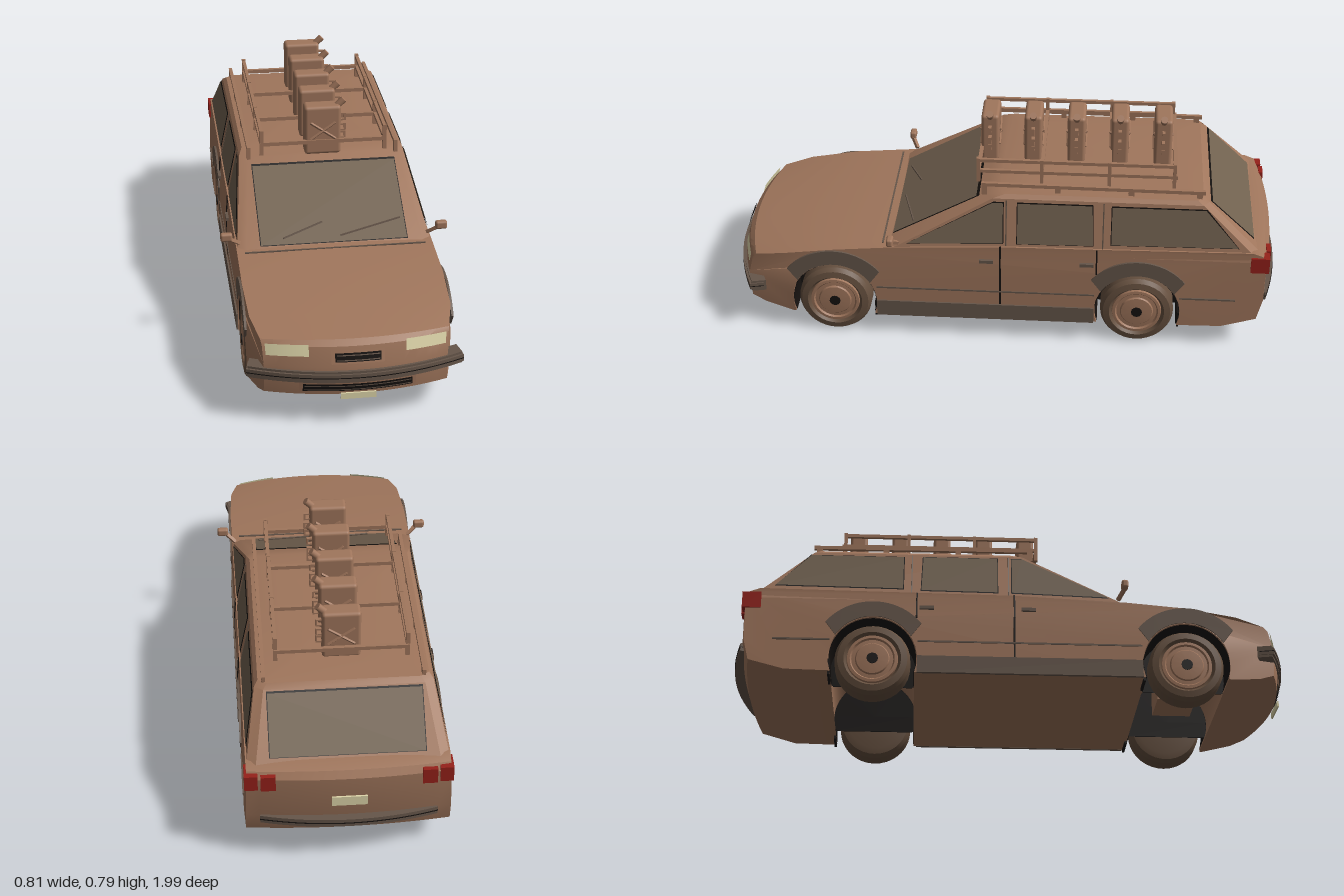
import * as THREE from 'three';
import { toCreasedNormals } from 'three/addons/utils/BufferGeometryUtils.js';
import { RoundedBoxGeometry } from 'three/addons/geometries/RoundedBoxGeometry.js';

const mat = (name, color, side = THREE.FrontSide) => {
  const m = new THREE.MeshStandardMaterial({ color, side });
  m.name = name;
  return m;
};
const paint = mat('tan paint', 0xa0765c);
const trim = mat('grey brown trim', 0x66564a, THREE.DoubleSide);
const glass = mat('smoked glass', 0x71614f, THREE.DoubleSide);
const rubber = mat('tyre rubber', 0x66503f);
const black = mat('black', 0x15110f, THREE.DoubleSide);
const cream = mat('cream lamp', 0xdfd6aa, THREE.DoubleSide);
const red = mat('red lamp', 0x96211a);

const clamp = THREE.MathUtils.clamp;
const WHEELS = [0.605, -0.495], WHEEL_Y = 0.132, ARCH = 0.155;
const FORWARD = new THREE.Vector3(0, 0, 1);

export function createModel() {
  const car = new THREE.Group();
  car.name = 'estateCar';

  const add = (name, geo, m, x = 0, y = 0, z = 0, parent = car) => {
    const mesh = new THREE.Mesh(geo, m);
    mesh.name = name;
    mesh.position.set(x, y, z);
    parent.add(mesh);
    return mesh;
  };
  const box = (name, w, h, d, m, x, y, z, parent) => add(name, new THREE.BoxGeometry(w, h, d), m, x, y, z, parent);
  const rod = (name, a, b, t, m, parent) => {
    const p = new THREE.Vector3(...a), q = new THREE.Vector3(...b);
    const mesh = box(name, t, t, p.distanceTo(q), m, 0, 0, 0, parent);
    mesh.quaternion.setFromUnitVectors(FORWARD, q.clone().sub(p).normalize());
    mesh.position.copy(p).add(q).multiplyScalar(0.5);
  };
  const warp = (geo, fn) => {
    const p = geo.attributes.position, v = new THREE.Vector3();
    for (let i = 0; i < p.count; i++) {
      fn(v.fromBufferAttribute(p, i));
      p.setXYZ(i, v.x, v.y, v.z);
    }
    geo.computeVertexNormals();
    return geo;
  };
  // Rounds the nose and tail in plan and leans the upper flanks inwards
  const bend = (v) => {
    const tf = clamp((v.z - 0.75) / 0.23, 0, 1), tr = clamp((-v.z - 0.85) / 0.12, 0, 1);
    const q = (v.x / 0.352) ** 2;
    v.z += (0.025 * tr - 0.055 * tf) * q;
    v.x *= 1 - 0.13 * tf - 0.015 * tr - Math.max(0, v.y - 0.3) * 0.2;
    if (v.y > 0.25) v.y += 0.004 * (1 - q);
  };

  // Lower body: side profile with wheel arches, extruded across
  const profile = [[0.4, 0.37], [0.605, 0.352], [0.8, 0.324], [0.935, 0.3], [0.955, 0.283], [0.975, 0.22],
    [0.978, 0.17], [0.97, 0.115], [0.9, 0.095], [0.76, 0.079]];
  for (const wz of WHEELS) {
    for (let i = 0; i <= 18; i++) {
      const a = -0.35 + (i / 18) * (Math.PI + 0.7);
      profile.push([wz + ARCH * Math.cos(a), 0.135 + ARCH * Math.sin(a)]);
    }
  }
  profile.push([-0.8, 0.085], [-0.945, 0.12], [-0.97, 0.2], [-0.972, 0.36], [-0.955, 0.385], [-0.91, 0.398], [0, 0.388]);
  const shape = new THREE.Shape(profile.map((p) => new THREE.Vector2(...p)));
  const hull = new THREE.ExtrudeGeometry(shape, { depth: 0.704, steps: 16, bevelEnabled: false });
  hull.translate(0, 0, -0.352).rotateY(-Math.PI / 2);
  add('lowerBody', toCreasedNormals(warp(hull, bend), 0.5), paint);

  // Cabin: stacked rings with chamfered corners
  const ring = ([y, w, f, b]) => [[w, f - 0.02], [w, b + 0.02], [w - 0.03, b], [0.03 - w, b],
    [-w, b + 0.02], [-w, f - 0.02], [0.03 - w, f], [w - 0.03, f]].map(([x, z]) => [x, y, z]);
  const rings = [[0.36, 0.345, 0.42, -0.95], [0.565, 0.302, 0.05, -0.735], [0.578, 0.289, 0.005, -0.715],
    [0.586, 0.2, -0.1, -0.63]].map(ring);
  const tris = [];
  rings.forEach((r, k) => r.forEach((a, i) => {
    const b = r[(i + 1) % 8], up = rings[k + 1];
    if (up) tris.push(a, b, up[(i + 1) % 8], a, up[(i + 1) % 8], up[i]);
    else tris.push([0, 0.589, -0.36], a, b);
  }));
  const cabin = new THREE.BufferGeometry();
  cabin.setAttribute('position', new THREE.Float32BufferAttribute(tris.flat(), 3));
  cabin.computeVertexNormals();
  add('cabin', toCreasedNormals(cabin, 0.4), paint);

  // Windows: flat outlines laid on the cabin planes, each over a thin dark seal
  const sideX = (y) => 0.345 - (y - 0.36) * 0.2098;
  const frontZ = (y) => 0.42 - (y - 0.36) * 1.805;
  const rearZ = (y) => -0.95 + (y - 0.36) * 1.049;
  const pane = (name, pts, place) => {
    const cx = pts.reduce((s, p) => s + p[0], 0) / pts.length, cy = pts.reduce((s, p) => s + p[1], 0) / pts.length;
    const layer = (grow, lift) => warp(new THREE.ShapeGeometry(new THREE.Shape(pts.map(([u, v]) =>
      new THREE.Vector2(u + Math.sign(u - cx) * grow, v + Math.sign(v - cy) * grow)))), (p) => place(p, lift));
    add(name + 'Seal', layer(0.003, 0.003), black);
    add(name, layer(0, 0.006), glass);
  };
  const screen = (y0, y1) => [[-0.26, y0], [0.26, y0], [0.26, y1], [-0.26, y1]];
  pane('windscreen', screen(0.38, 0.548), (p, l) => { p.z = frontZ(p.y) + l * 1.6; });
  pane('rearWindow', screen(0.412, 0.56), (p, l) => { p.z = rearZ(p.y) - l * 1.3; });
  const sidePanes = {
    frontDoorWindow: [[0.335, 0.39], [-0.008, 0.402], [-0.008, 0.552], [0.03, 0.552]],
    rearDoorWindow: [[-0.06, 0.402], [-0.33, 0.405], [-0.325, 0.552], [-0.06, 0.552]],
    quarterWindow: [[-0.395, 0.41], [-0.845, 0.415], [-0.725, 0.55], [-0.395, 0.55]],
  };
  for (const s of [1, -1]) {
    for (const [name, pts] of Object.entries(sidePanes)) {
      pane(name, pts, (p, l) => p.set(s * (sideX(p.y) + l), p.y, p.x));
    }
    // Sills, mouldings, seams and handles
    box('sill', 0.012, 0.063, 0.79, trim, s * 0.352, 0.112, 0.055);
    for (const [z, d] of [[0.055, 0.79], [-0.745, 0.2]]) box('sideMoulding', 0.006, 0.006, d, trim, s * 0.352, 0.2, z);
    for (const z of [0, -0.345]) {
      const low = z ? 0.29 : 0.145;
      box('doorSeam', 0.003, 0.3 - low, 0.006, black, s * 0.352, (0.3 + low) / 2, z);
      rod('doorSeam', [s * 0.352, 0.3, z], [s * 0.346, 0.39, z], 0.005, black);
      rod('pillarSeam', [s * sideX(0.39), 0.39, z - 0.02], [s * sideX(0.56), 0.56, z - 0.02], 0.004, trim);
    }
    for (const z of [0.05, -0.31]) box('doorHandle', 0.014, 0.012, 0.05, trim, s * 0.352, 0.33, z);
    // Mirrors
    rod('mirrorArm', [s * 0.335, 0.385, 0.37], [s * 0.37, 0.412, 0.39], 0.012, paint);
    add('mirror', new RoundedBoxGeometry(0.042, 0.03, 0.024, 2, 0.008), paint, s * 0.382, 0.421, 0.39);
    // Tail lamps: one on the tailgate, one wrapping the corner
    box('tailLampInner', 0.05, 0.06, 0.016, red, s * 0.27, 0.35, -0.956);
    box('tailLampCorner', 0.045, 0.06, 0.066, red, s * 0.327, 0.35, -0.925);

    for (const z of WHEELS) {
      // Arch flare
      const flare = new THREE.Shape();
      flare.absarc(0, 0, 0.212, 0.66, Math.PI - 0.66, false);
      flare.absarc(0, 0, ARCH, Math.PI - 0.55, 0.55, true);
      const fg = new THREE.ExtrudeGeometry(flare, { depth: 0.008, bevelEnabled: false, curveSegments: 20 });
      fg.rotateY(-Math.PI / 2).translate(0.004, 0, 0);
      add('archFlare', fg, trim, s * 0.352, 0.137, z);
      // Black wheel well: half tunnel closed by an inner wall
      const liner = new THREE.CylinderGeometry(ARCH - 0.003, ARCH - 0.003, 0.14, 28, 1, true, -0.35, Math.PI + 0.7);
      add('wellLiner', liner.rotateZ(Math.PI / 2), black, s * 0.278, 0.135, z);
      const wall = new THREE.CircleGeometry(ARCH - 0.002, 28, -0.35, Math.PI + 0.7);
      add('wellWall', wall.rotateY(Math.PI / 2), black, s * 0.21, 0.135, z);
      box('wellWallBase', 0.004, 0.06, 0.28, black, s * 0.21, 0.112, z);
      box('mudFlap', 0.09, 0.06, 0.008, black, s * 0.3, 0.1, z - 0.15);
      // Wheel
      const wheel = new THREE.Group();
      wheel.name = 'wheel';
      wheel.position.set(s * 0.301, WHEEL_Y, z);
      wheel.rotation.z = -s * Math.PI / 2;
      car.add(wheel);
      const lathe = (pts) => toCreasedNormals(new THREE.LatheGeometry(pts.map((p) => new THREE.Vector2(...p)), 36), 0.5);
      add('tyre', lathe([[0, -0.046], [0.1, -0.051], [0.122, -0.047], [0.132, -0.03], [0.132, 0.03],
        [0.122, 0.047], [0.1, 0.051], [0.09, 0.038], [0, 0.036]]), rubber, 0, 0, 0, wheel);
      add('hubcap', lathe([[0.09, 0.036], [0.088, 0.047], [0.078, 0.048], [0.073, 0.042], [0.06, 0.043],
        [0.056, 0.048], [0.03, 0.05], [0, 0.05]]), paint, 0, 0, 0, wheel);
      add('hubCentre', new THREE.CylinderGeometry(0.02, 0.02, 0.008, 12), black, 0, 0.049, 0, wheel);
    }
  }
  box('gearboxHousing', 0.16, 0.11, 0.14, paint, 0, 0.17, WHEELS[0]);

  // Curved bars across the nose and tail
  const arcBar = (name, tip, drop, hw, thick, y, h, m) => {
    const outer = [], inner = [];
    for (let i = 0; i <= 16; i++) {
      const t = i / 8 - 1;
      outer.push(new THREE.Vector2(t * hw, tip - drop * t * t));
      inner.unshift(new THREE.Vector2(t * hw * 0.97, tip - thick - drop * t * t));
    }
    const g = new THREE.ExtrudeGeometry(new THREE.Shape([...outer, ...inner]), { depth: h, bevelEnabled: false });
    add(name, toCreasedNormals(g.rotateX(Math.PI / 2), 0.5), m, 0, y + h / 2, 0);
  };
  arcBar('frontBumper', 0.986, 0.08, 0.36, 0.05, 0.187, 0.042, trim);
  arcBar('frontBumperBulge', 0.992, 0.08, 0.365, 0.05, 0.187, 0.026, trim);
  arcBar('frontBumperGroove', 0.993, 0.08, 0.3655, 0.05, 0.187, 0.003, black);
  arcBar('rearBumper', -0.998, -0.04, 0.3, -0.04, 0.188, 0.03, trim);
  arcBar('rearBumperGroove', -1, -0.04, 0.301, -0.04, 0.188, 0.003, black);

  // Front details wrapped onto the nose
  const noseZ = (y) => (y > 0.22 ? 0.975 - (y - 0.22) * 0.317 : y > 0.17 ? 0.978 - (y - 0.17) * 0.06 : 0.978 - (0.17 - y) * 0.145);
  const patch = (name, x, y, w, h, lift, m) => {
    const g = new THREE.PlaneGeometry(w / 0.87, h, 10, 1).translate(x / 0.87, y, 0);
    add(name, warp(g, (p) => { p.z = noseZ(p.y); bend(p); p.z += lift; }), m);
  };
  for (const s of [1, -1]) patch('headlamp', s * 0.228, 0.274, 0.138, 0.038, 0.006, cream);
  const grille = (name, y, w, h, slats) => {
    patch(name + 'Frame', 0, y, w + 0.024, h + 0.016, 0.004, paint);
    patch(name, 0, y, w, h, 0.007, black);
    for (let i = 0; i < slats; i++) patch(name + 'Slat', 0, y - h / 2 + (h * (i + 0.5)) / slats, w - 0.01, h * 0.14, 0.01, trim);
  };
  grille('upperGrille', 0.252, 0.152, 0.026, 2);
  grille('lowerGrille', 0.146, 0.365, 0.028, 2);
  box('frontPlate', 0.118, 0.022, 0.006, cream, 0, 0.114, 0.98);
  box('rearPlate', 0.12, 0.038, 0.006, cream, 0, 0.27, -0.975);
  box('cowlSeam', 0.64, 0.004, 0.006, trim, 0, 0.372, 0.425);
  for (const [x0, x1] of [[-0.18, -0.035], [0.025, 0.245]]) {
    rod('wiper', [x0, 0.394, frontZ(0.394) + 0.016], [x1, 0.424, frontZ(0.424) + 0.016], 0.005, trim);
  }

  // Roof rails and luggage rack
  for (const s of [1, -1]) {
    rod('roofRail', [s * 0.27, 0.605, 0.07], [s * 0.27, 0.6, -0.72], 0.013, paint);
    for (const z of [0.06, -0.2, -0.46, -0.7]) box('railFoot', 0.013, 0.04, 0.02, paint, s * 0.27, 0.585, z);
    for (const y of [0.633, 0.676]) rod('rackRail', [s * 0.225, y, 0.09], [s * 0.225, y, -0.615], 0.012, paint);
    for (const z of [0.085, -0.14, -0.38, -0.61]) box('rackPost', 0.014, 0.095, 0.012, paint, s * 0.225, 0.637, z);
  }
  for (const z of [0.085, -0.14, -0.38, -0.615]) box('rackCrossbar', 0.46, 0.014, 0.013, paint, 0, 0.631, z);

  // Row of fuel cans
  for (let i = 0; i < 5; i++) {
    const can = new THREE.Group();
    can.name = 'fuelCan';
    can.position.set(0, 0.672, 0.055 - i * 0.156);
    car.add(can);
    add('canBody', new RoundedBoxGeometry(0.133, 0.186, 0.064, 2, 0.012), paint, -0.001, 0, 0, can);
    for (const f of [1, -1]) for (const d of [1, -1]) {
      rod('canBrace', [-0.045, -0.032 * d, f * 0.032], [0.045, 0.032 * d, f * 0.032], 0.008, paint, can);
    }
    const spout = add('spout', new THREE.CylinderGeometry(0.013, 0.013, 0.045, 12), paint, 0.063, 0.092, 0, can);
    spout.rotation.z = -0.8;
    for (const y of [0.04, 0, -0.03]) {
      box('handleGrip', 0.006, 0.024, 0.012, paint, 0.083, y, 0, can);
      for (const d of [1, -1]) box('handleStub', 0.022, 0.006, 0.012, paint, 0.075, y + d * 0.011, 0, can);
    }
  }
  return car;
}
